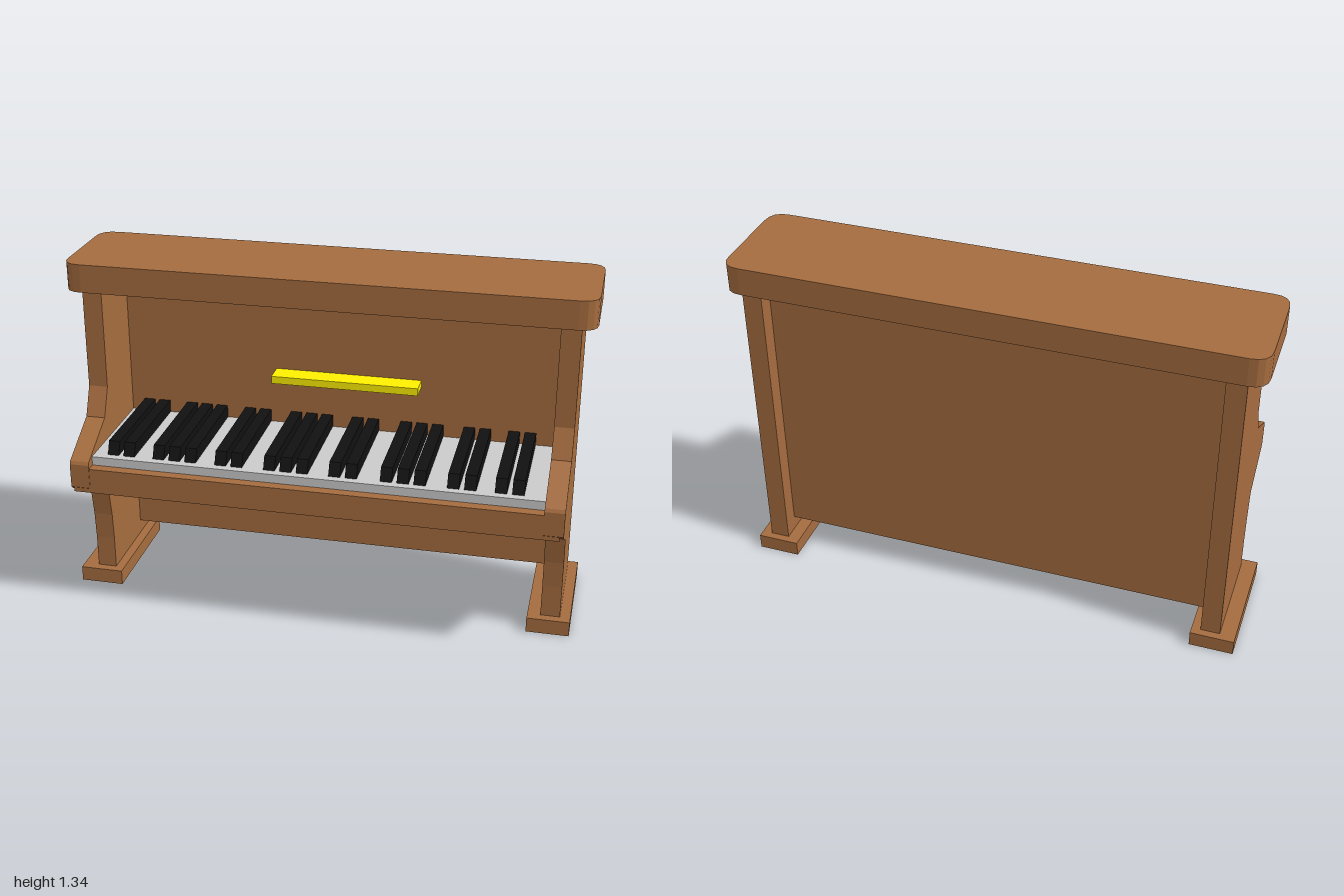
import * as THREE from 'three';

const wood = new THREE.MeshStandardMaterial({ color: 0xa56c3f, flatShading: true });
const ivory = new THREE.MeshStandardMaterial({ color: 0xcccccc, flatShading: true });
const ebony = new THREE.MeshStandardMaterial({ color: 0x111111, flatShading: true });
const yellow = new THREE.MeshStandardMaterial({ color: 0xfff000, flatShading: true });

function addMesh(parent, name, geometry, material) {
  const mesh = new THREE.Mesh(geometry, material);
  mesh.name = name;
  parent.add(mesh);
  return mesh;
}

// Box given by its extents on each axis
function addBox(parent, name, material, [x0, x1], [y0, y1], [z0, z1]) {
  const geometry = new THREE.BoxGeometry(x1 - x0, y1 - y0, z1 - z0);
  geometry.translate((x0 + x1) / 2, (y0 + y1) / 2, (z0 + z1) / 2);
  return addMesh(parent, name, geometry, material);
}

// Side profile of (z, y) points, extruded from x0 to x1
function addProfile(parent, name, material, points, x0, x1) {
  const shape = new THREE.Shape(points.map(([z, y]) => new THREE.Vector2(z, y)));
  const geometry = new THREE.ExtrudeGeometry(shape, { depth: x1 - x0, bevelEnabled: false });
  geometry.rotateY(-Math.PI / 2).translate(x1, 0, 0);
  return addMesh(parent, name, geometry, material);
}

// Horizontal slab with rounded corners
function addRoundedSlab(parent, name, material, [x0, x1], [y0, y1], [z0, z1], r) {
  const s = new THREE.Shape();
  s.moveTo(x0 + r, -z1);
  s.lineTo(x1 - r, -z1);
  s.quadraticCurveTo(x1, -z1, x1, -z1 + r);
  s.lineTo(x1, -z0 - r);
  s.quadraticCurveTo(x1, -z0, x1 - r, -z0);
  s.lineTo(x0 + r, -z0);
  s.quadraticCurveTo(x0, -z0, x0, -z0 - r);
  s.lineTo(x0, -z1 + r);
  s.quadraticCurveTo(x0, -z1, x0 + r, -z1);
  const geometry = new THREE.ExtrudeGeometry(s, { depth: y1 - y0, bevelEnabled: false, curveSegments: 4 });
  geometry.rotateX(-Math.PI / 2).translate(0, y0, 0);
  return addMesh(parent, name, geometry, material);
}

export function createModel() {
  const piano = new THREE.Group();
  piano.name = 'uprightPiano';
  const panelFront = -0.185;

  // Lid
  addRoundedSlab(piano, 'lid', wood, [-1, 1], [1.225, 1.335], [-0.335, 0.1], 0.07);

  // Side walls with the arm and curved leg
  const sideProfile = [
    [-0.295, 0.06], [0.12, 0.06], [0.12, 0.19], [0.127, 0.3], [0.145, 0.41],
    [0.32, 0.508], [0.332, 0.52], [0.332, 0.615], [0.325, 0.627],
    [0.135, 0.73], [0.085, 0.84], [0.085, 1.225], [-0.295, 1.225],
  ];
  addProfile(piano, 'rightSide', wood, sideProfile, -0.93, -0.855);
  addProfile(piano, 'leftSide', wood, sideProfile, 0.87, 0.945);

  // Feet
  addBox(piano, 'rightFoot', wood, [-0.99, -0.82], [0, 0.06], [-0.325, 0.155]);
  addBox(piano, 'leftFoot', wood, [0.82, 0.985], [0, 0.06], [-0.325, 0.155]);

  // Recessed panel and key shelf
  addBox(piano, 'backPanel', wood, [-0.86, 0.875], [0.115, 1.225], [-0.23, panelFront]);
  addBox(piano, 'keyShelf', wood, [-0.92, 0.93], [0.5, 0.6], [panelFront, 0.33]);

  // Keyboard: white slab with groups of two and three black keys
  const keyboard = new THREE.Group();
  keyboard.name = 'keyboard';
  piano.add(keyboard);
  addBox(keyboard, 'whiteKeys', ivory, [-0.856, 0.871], [0.6, 0.635], [panelFront, 0.29]);
  const keyProfile = [[panelFront, 0.633], [0.26, 0.633], [0.237, 0.685], [panelFront, 0.685]];
  const groups = [[-0.78, 2], [-0.6, 3], [-0.355, 2], [-0.165, 3], [0.085, 2], [0.28, 3], [0.53, 2], [0.705, 2]];
  for (const [start, count] of groups) {
    for (let i = 0; i < count; i++) {
      const x = start + i * 0.063;
      addProfile(keyboard, 'blackKey', ebony, keyProfile, x - 0.022, x + 0.022);
    }
  }

  // Music rest
  addBox(piano, 'musicRest', yellow, [-0.245, 0.335], [0.835, 0.865], [panelFront, -0.1]);

  return piano;
}
